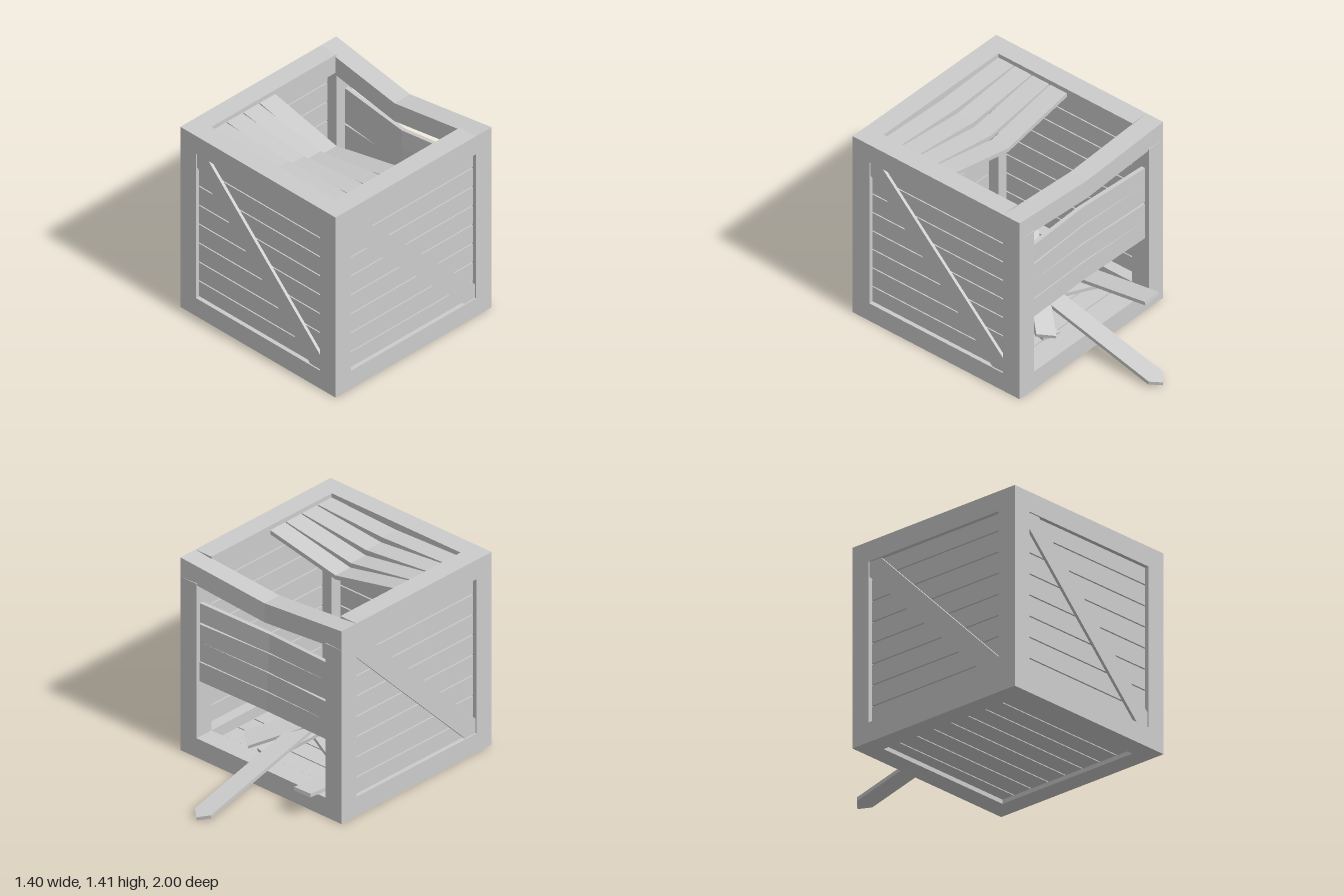
import * as THREE from 'three';

const W = 1.4, H = 1.408, B = 0.14;      // crate width, height, beam size
const CZ = 0.3;                          // crate centre in z
const PITCH = 0.148, GAP = 0.009, T = 0.03;
const material = new THREE.MeshStandardMaterial({ color: 0xcccccc });

function add(parent, name, geometry, x = 0, y = 0, z = 0) {
  const mesh = new THREE.Mesh(geometry, material);
  mesh.name = name;
  mesh.position.set(x, y, z);
  parent.add(mesh);
  return mesh;
}

const box = (w, h, d) => new THREE.BoxGeometry(w, h, d);

// Board along x whose middle is pushed by (dy, dz), creased at the centre
function bentBox(w, h, d, dy, dz) {
  const g = new THREE.BoxGeometry(w, h, d, 2, 1, 1);
  const p = g.attributes.position;
  for (let i = 0; i < p.count; i++) {
    if (Math.abs(p.getX(i)) < 1e-4) p.setXYZ(i, 0, p.getY(i) + dy, p.getZ(i) + dz);
  }
  const flat = g.toNonIndexed();
  flat.computeVertexNormals();
  return flat;
}

// Flat outline extruded to a board
function slab(points, depth) {
  const shape = new THREE.Shape(points.map(([x, y]) => new THREE.Vector2(x, y)));
  return new THREE.ExtrudeGeometry(shape, { depth, bevelEnabled: false });
}

// Wall of eight planks facing +z, optionally with a diagonal brace
function panel(name, braced, shift = 0) {
  const group = new THREE.Group();
  group.name = name;
  for (let i = 0; i < 8; i++) {
    add(group, 'plank', box(1.15, PITCH - GAP, T), 0, (i - 3.5) * PITCH + shift, -0.03 - T / 2);
  }
  if (braced) {
    const a = 0.563, b = 0.462;
    add(group, 'diagonalBrace',
      slab([[-a, a], [-a, b], [b, -a], [a, -a], [a, -b], [-b, a]], 0.025), 0, 0, -0.034);
  }
  return group;
}

// Loose plank with its centre line running between two points
function loosePlank(parent, name, from, to, roll = 0, pointed = false) {
  const a = new THREE.Vector3(...from), b = new THREE.Vector3(...to);
  const length = a.distanceTo(b), w = 0.069, t = 0.026;
  const tip = pointed ? 0.065 : 0;
  const outline = [[-w, 0], [w, 0], [w, length - tip]];
  if (pointed) outline.push([0, length]);
  outline.push([-w, length - tip]);
  const geometry = slab(outline, t);
  geometry.translate(0, 0, -t / 2);
  const dir = b.clone().sub(a).normalize();
  const side = new THREE.Vector3().crossVectors(dir, new THREE.Vector3(0, 1, 0)).normalize();
  side.applyAxisAngle(dir, roll);
  const up = new THREE.Vector3().crossVectors(side, dir);
  const mesh = add(parent, name, geometry, ...from);
  mesh.quaternion.setFromRotationMatrix(new THREE.Matrix4().makeBasis(side, dir, up));
}

export function createModel() {
  const model = new THREE.Group();
  model.name = 'brokenCrate';
  const edge = W / 2 - B / 2;
  const inner = W - 2 * B;

  // Frame: posts, side rails, front and back rails
  const frame = new THREE.Group();
  frame.name = 'frame';
  model.add(frame);
  for (const sx of [-1, 1]) {
    for (const sz of [-1, 1]) {
      add(frame, 'cornerPost', box(B, H - 2 * B, B), sx * edge, H / 2, CZ + sz * edge);
    }
    for (const y of [B / 2, H - B / 2]) {
      add(frame, 'sideRail', box(B, B, inner), sx * edge, y, CZ);
    }
  }
  add(frame, 'frontBottomRail', box(W, B, B), 0, B / 2, CZ + edge);
  add(frame, 'frontTopRail', box(W, B, B), 0, H - B / 2, CZ + edge);
  add(frame, 'backBottomRail', box(W, B, B), 0, B / 2, CZ - edge);
  add(frame, 'crackedBackTopRail', bentBox(W, B, B, -0.08, 0.035), 0, H - B / 2, CZ - edge);

  // Intact walls and floor
  const front = panel('frontWall', true);
  front.position.set(0, H / 2, CZ + W / 2);
  const left = panel('leftWall', true);
  left.position.set(W / 2, H / 2, CZ);
  left.rotation.y = Math.PI / 2;
  const right = panel('rightWall', true);
  right.position.set(-W / 2, H / 2, CZ);
  right.rotation.y = -Math.PI / 2;
  const floor = panel('floor', false, -0.017);
  floor.position.set(0, 0, CZ);
  floor.rotation.x = Math.PI / 2;
  model.add(front, left, right, floor);

  // Lid: the remaining four planks sag more towards the hole
  [0.12, 0.09, 0.055, 0.02].forEach((sag, i) => {
    const z = CZ - 0.017 + (i + 0.5) * PITCH;
    add(model, 'saggingLidPlank', bentBox(1.14, T, PITCH - GAP, -sag, 0.008 - 0.004 * i),
      0, H - 0.03 - T / 2, z);
  });

  // Back wall: four planks pushed inwards
  [[0.02, 0.0], [0.03, 0.012], [0.04, -0.012], [0.05, 0.01]].forEach(([push, tilt], i) => {
    const mesh = add(model, 'bentBackPlank',
      bentBox(1.14, PITCH - GAP, T, -0.008 - 0.006 * i, push),
      0, 0.54 + (i + 0.5) * PITCH - 0.006 * i, CZ - W / 2 + 0.03 + T / 2);
    mesh.rotation.z = tilt;
  });

  // Broken planks lying in and hanging out of the crate
  const debris = new THREE.Group();
  debris.name = 'loosePlanks';
  model.add(debris);
  loosePlank(debris, 'pointedPlank', [0, 0.42, 0.61], [0, 0.016, -1], 0, true);
  loosePlank(debris, 'crossingPlank', [0.27, 0.18, -0.25], [-0.33, 0.47, 0.44], 0.3);
  loosePlank(debris, 'railPlank', [-0.425, 0.075, 0.42], [-0.462, 0.187, -0.51]);
  loosePlank(debris, 'floorPlank', [-0.48, 0.085, -0.03], [0.26, 0.085, 0.35]);
  loosePlank(debris, 'leaningPlank', [0.16, 0.09, -0.2], [0.03, 0.2, 0.46], 0.15);
  return model;
}
